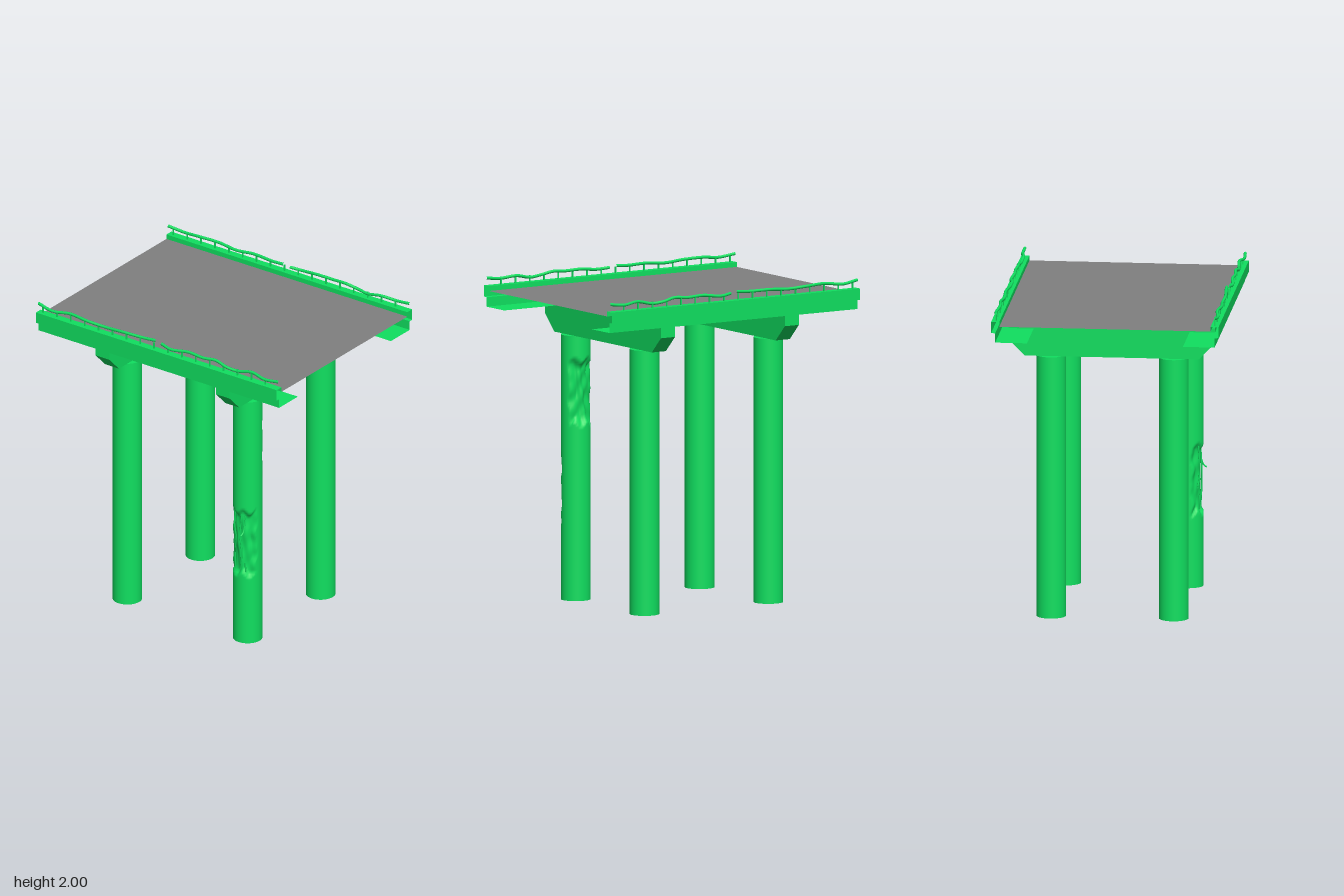
import * as THREE from 'three';

const GREEN = new THREE.MeshStandardMaterial({ color: 0x10e060 });
const GREEN_SHEET = new THREE.MeshStandardMaterial({ color: 0x10e060, side: THREE.DoubleSide, flatShading: true });
const ROAD = new THREE.MeshStandardMaterial({ color: 0x808080, side: THREE.DoubleSide });

const X0 = -0.915, X1 = 0.915;      // bridge span ends
const COL_X = 0.457, COL_Z = 0.377; // column centres
const COL_R = 0.091, COL_H = 1.64;

function add(parent, name, geometry, material = GREEN) {
  const mesh = new THREE.Mesh(geometry, material);
  mesh.name = name;
  parent.add(mesh);
  return mesh;
}

function tube(points, radius, segments = 32, sides = 6) {
  const curve = new THREE.CatmullRomCurve3(points.map(p => new THREE.Vector3(...p)));
  return new THREE.TubeGeometry(curve, segments, radius, sides);
}

// Open sheet: a (z, y) profile swept along x
function sweptSheet(profile) {
  const pos = [];
  for (let i = 0; i < profile.length - 1; i++) {
    const [za, ya] = profile[i], [zb, yb] = profile[i + 1];
    pos.push(X0, ya, za, X0, yb, zb, X1, yb, zb, X0, ya, za, X1, yb, zb, X1, ya, za);
  }
  const g = new THREE.BufferGeometry();
  g.setAttribute('position', new THREE.Float32BufferAttribute(pos, 3));
  g.computeVertexNormals();
  return g;
}

// Depth of a broken patch: 0 outside, rising quickly inside a ragged outline
function patch(angle, y, centre, halfAngle, y0, y1, depth, sharp) {
  let a = angle - centre;
  a = Math.atan2(Math.sin(a), Math.cos(a));
  const ragged = 0.07 * Math.sin(y * 31 + 1) + 0.05 * Math.sin(y * 57);
  const u = Math.abs(a) / (halfAngle * (1 + ragged));
  const mid = (y0 + y1) / 2, half = (y1 - y0) / 2;
  const v = Math.abs(y - mid - 0.015 * Math.sin(a * 6)) / half;
  const edge = Math.max(0, 1 - Math.max(u * u, v ** 4));
  const rough = 1 + 0.18 * Math.sin(a * 7 + y * 19) + 0.12 * Math.sin(y * 43 - a * 4);
  return depth * Math.min(1, edge * sharp) * rough;
}

function brokenColumn() {
  const g = new THREE.CylinderGeometry(COL_R, COL_R, COL_H, 64, 110, false, Math.PI / 2);
  g.translate(0, COL_H / 2, 0);
  const p = g.attributes.position;
  for (let i = 0; i < p.count; i++) {
    const x = p.getX(i), y = p.getY(i), z = p.getZ(i), r = Math.hypot(x, z);
    if (r < 0.01) continue;
    const angle = Math.atan2(x, z);
    const cut = patch(angle, y, 0, 1.25, 0.46, 0.89, 0.02, 2.5)
      + patch(angle, y, Math.PI + 0.1, 1.15, 1.09, 1.49, 0.03, 1.5);
    p.setX(i, x * (1 - cut / r));
    p.setZ(i, z * (1 - cut / r));
  }
  g.computeVertexNormals();
  return g;
}

export function createModel() {
  const model = new THREE.Group();
  model.name = 'brokenBridge';

  // Road surface
  const road = add(model, 'roadDeck', new THREE.PlaneGeometry(X1 - X0, 1.3), ROAD);
  road.rotation.x = -Math.PI / 2;
  road.position.y = 1.91;

  // Edge girders: curb, overhang, web and lower flange
  const girder = [[0.65, 1.91], [0.65, 1.94], [0.7, 1.94], [0.7, 1.87], [0.675, 1.868], [0.675, 1.81], [0.48, 1.81]];
  for (const s of [1, -1]) {
    add(model, s > 0 ? 'frontGirder' : 'backGirder', sweptSheet(girder.map(([z, y]) => [z * s, y])), GREEN_SHEET);
  }

  // Pier caps with chamfered lower ends
  const outline = [[-0.635, 1.835], [-0.635, 1.74], [-0.535, 1.64], [0.535, 1.64], [0.635, 1.74], [0.635, 1.835]];
  const shape = new THREE.Shape(outline.map(p => new THREE.Vector2(...p)));
  const capGeometry = new THREE.ExtrudeGeometry(shape, { depth: 0.104, bevelEnabled: false });
  capGeometry.translate(0, 0, -0.052).rotateY(Math.PI / 2);
  for (const s of [1, -1]) add(model, 'pierCap', capGeometry).position.x = s * COL_X;

  // Columns, one of them broken
  const plain = new THREE.CylinderGeometry(COL_R, COL_R, COL_H, 40);
  plain.translate(0, COL_H / 2, 0);
  for (const sx of [1, -1]) for (const sz of [1, -1]) {
    const broken = sx > 0 && sz > 0;
    const column = add(model, broken ? 'brokenColumn' : 'column', broken ? brokenColumn() : plain);
    column.position.set(sx * COL_X, 0, sz * COL_Z);
  }

  // Exposed reinforcing bars in the broken column
  const bars = new THREE.Group();
  bars.name = 'exposedBars';
  bars.position.set(COL_X, 0, COL_Z);
  model.add(bars);
  const barPaths = [
    [[-0.045, 0.48, 0.064], [-0.045, 0.54, 0.066], [-0.045, 0.595, 0.068]],
    [[-0.05, 0.62, 0.06], [-0.036, 0.7, 0.07], [-0.046, 0.78, 0.072], [-0.046, 0.885, 0.064]],
    [[0, 0.49, 0.072], [0.012, 0.62, 0.078], [0.002, 0.72, 0.08], [0.008, 0.87, 0.072]],
    [[0.035, 0.47, 0.066], [0.035, 0.51, 0.07], [0.035, 0.545, 0.072]],
    [[0.03, 0.86, 0.066], [0.03, 0.79, 0.074], [0.03, 0.75, 0.09], [0.028, 0.737, 0.108]],
  ];
  for (const path of barPaths) add(bars, 'bar', tube(path, 0.005, 16));

  // Bent handrails in two lengths per side, on short posts
  const rails = [
    [[-0.915, 1.99, 0.67], [-0.8, 1.975, 0.682], [-0.68, 1.987, 0.668], [-0.54, 1.983, 0.68], [-0.4, 1.975, 0.67],
      [-0.27, 1.984, 0.676], [-0.12, 1.983, 0.664], [-0.03, 1.989, 0.66]],
    [[0.015, 1.981, 0.664], [0.1, 1.974, 0.682], [0.22, 1.987, 0.67], [0.34, 1.984, 0.676], [0.43, 1.99, 0.668],
      [0.52, 1.973, 0.678], [0.6, 1.967, 0.67], [0.7, 1.986, 0.664], [0.81, 1.976, 0.682], [0.915, 1.987, 0.678]],
  ];
  const postGeometry = new THREE.BoxGeometry(0.008, 0.045, 0.008);
  for (const s of [1, -1]) {
    const side = new THREE.Group();
    side.name = s > 0 ? 'frontRailing' : 'backRailing';
    model.add(side);
    for (const rail of rails) add(side, 'handrail', tube(rail.map(([x, y, z]) => [x, y, z * s]), 0.0095, 48, 8));
    for (let i = 0; i < 17; i++) {
      add(side, 'post', postGeometry).position.set(-0.88 + i * 0.1055, 1.957, s * 0.673);
    }
  }
  return model;
}
